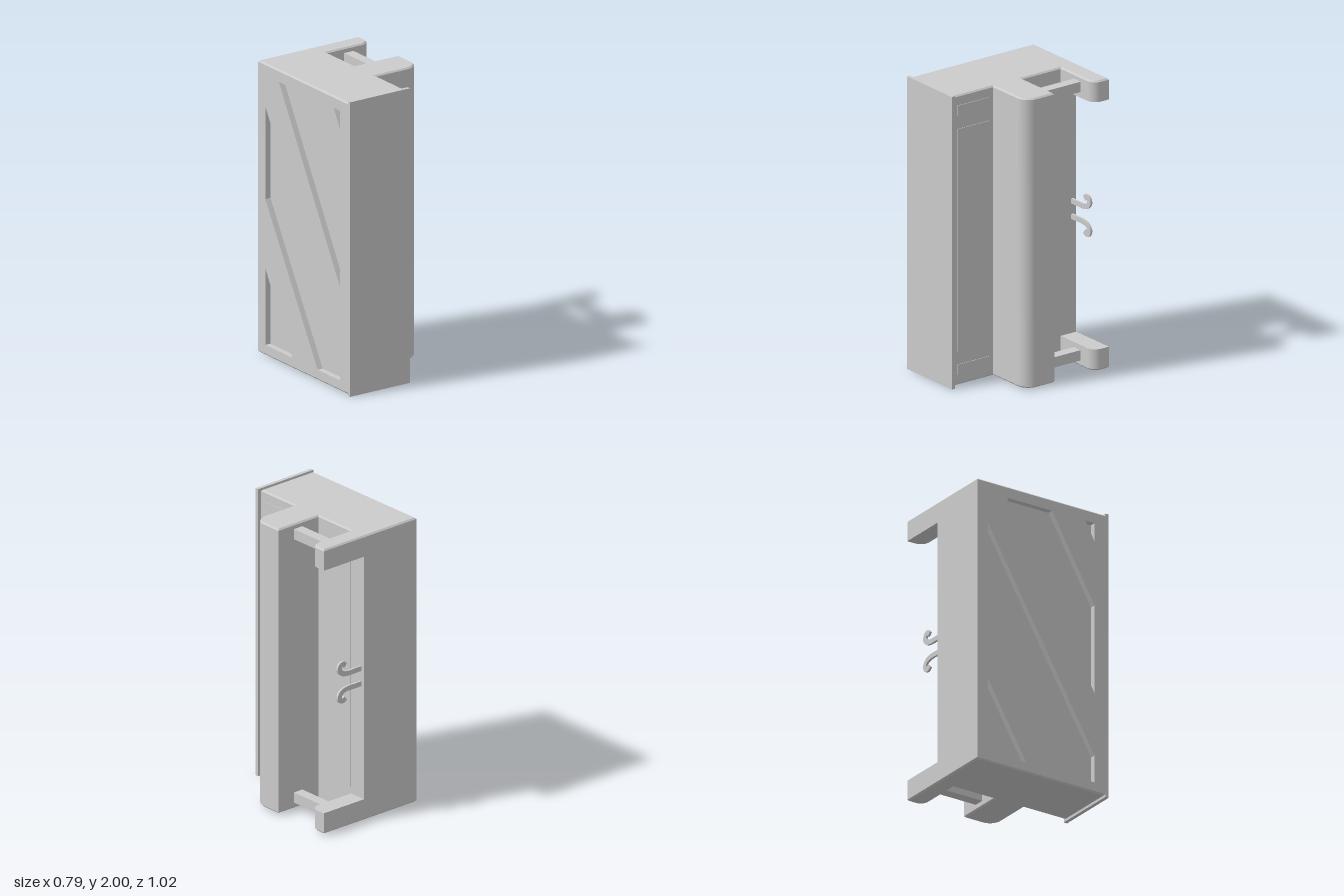
import * as THREE from 'three';
import { toCreasedNormals } from 'three/addons/utils/BufferGeometryUtils.js';

const grey = new THREE.MeshStandardMaterial({ color: 0xcccccc });
const LOW = 0.02, HIGH = 1.98; // wall heights without the chamfers
const BACK = -0.51, SEAM = 0.485; // z of the back face and of the front plate
const LEFT = -0.4, WALL = 0.047, TIP = 0.39; // x of the main planes

export function createModel() {
  const model = new THREE.Group();

  const add = (name, geometry, x = 0, y = 0, z = 0) => {
    const mesh = new THREE.Mesh(geometry, grey);
    mesh.name = name;
    mesh.position.set(x, y, z);
    model.add(mesh);
  };
  // box given by its limits on each axis
  const block = (name, x0, x1, y0, y1, z0, z1) =>
    add(name, new THREE.BoxGeometry(x1 - x0, y1 - y0, z1 - z0),
      (x0 + x1) / 2, (y0 + y1) / 2, (z0 + z1) / 2);
  const polygon = (points) => points.map(([a, b]) => new THREE.Vector2(a, b));
  const extrude = (shape, options) =>
    new THREE.ExtrudeGeometry(shape, { bevelEnabled: false, curveSegments: 12, ...options });
  // plan shapes hold (x, -z) and rise along y
  const rise = (shape, height, options) =>
    toCreasedNormals(extrude(shape, { depth: height, ...options }).rotateX(-Math.PI / 2), 0.5);

  // outline of a projecting rib, rounded on its front outer corner
  const ribPath = (path, z0, z1, r) => {
    path.lineTo(WALL, -z1);
    path.lineTo(TIP - r, -z1);
    path.absarc(TIP - r, -z1 + r, r, -Math.PI / 2, 0, false);
    path.lineTo(TIP, -z0);
    path.lineTo(WALL, -z0);
  };
  const rib = (z0, z1, r) => {
    const s = new THREE.Shape();
    s.moveTo(0, -z0);
    s.lineTo(0, -z1);
    ribPath(s, z0, z1, r);
    return s;
  };

  // main case
  block('caseCore', LEFT + 0.04, WALL, LOW, HIGH, BACK, SEAM);
  block('frontPlate', LEFT, 0.07, 0, 2, SEAM, 0.51);
  add('column', rise(rib(-0.07, 0.16, 0.09), HIGH - LOW), 0, LOW, 0);

  // side skin with slanted recesses, drawn in (z, y)
  const skin = new THREE.Shape(polygon([[BACK, LOW], [SEAM, LOW], [SEAM, HIGH], [BACK, HIGH]]));
  [
    [[0.33, 1.91], [0.4, 1.91], [0.4, 1.78]],
    [[-0.28, 1.91], [0.07, 1.91], [0.4, 1.33], [0.4, 0.71]],
    [[-0.43, 1.7], [0.4, 0.27], [0.4, 0.08], [0.15, 0.08], [-0.43, 1.07]],
    [[-0.43, 0.6], [-0.13, 0.08], [-0.43, 0.08]],
  ].forEach((hole) => skin.holes.push(new THREE.Path(polygon(hole))));
  add('recessedSide', extrude(skin, { depth: 0.04 }).rotateY(-Math.PI / 2), LEFT + 0.04);

  // chamfered end faces covering case, column and arm
  const plan = new THREE.Shape();
  plan.moveTo(LEFT, -BACK);
  plan.lineTo(LEFT, -SEAM);
  plan.lineTo(WALL, -SEAM);
  ribPath(plan, -0.07, 0.16, 0.09);
  ribPath(plan, BACK, -0.385, 0.065);
  const endFace = rise(plan, 0.001, {
    bevelEnabled: true, bevelThickness: 0.01, bevelSize: 0.01, bevelOffset: -0.01, bevelSegments: 1,
  });
  add('topFace', endFace, 0, HIGH - 0.001, 0);
  add('bottomFace', endFace, 0, LOW, 0);

  // arms and crossbars at both ends
  const arm = rise(rib(BACK, -0.385, 0.065), 0.135);
  add('topArm', arm, 0, 1.845, 0);
  add('bottomArm', arm, 0, LOW, 0);
  block('topCrossbar', 0.185, 0.257, 1.885, 1.955, -0.4, -0.06);
  block('bottomCrossbar', 0.185, 0.257, 0.05, 0.12, -0.4, -0.06);

  // thin raised panels on the right wall
  const out = WALL + 0.004;
  block('rearPanel', WALL - 0.01, out, 0.2, 1.8, -0.385, -0.11);
  block('frontPanel', WALL - 0.01, out, 0.24, 1.76, 0.195, 0.45);
  for (const y of [0.08, 1.85]) block('panelStrip', WALL - 0.01, out, y, y + 0.07, 0.195, 0.45);

  // pair of flat curled hooks, mirrored about mid height
  const hook = (name, side) => {
    const path = new THREE.CatmullRomCurve3([
      [0.03, 0.053], [0.1, 0.053], [0.165, 0.053], [0.21, 0.065], [0.232, 0.095],
      [0.222, 0.122], [0.198, 0.127], [0.182, 0.112],
    ].map(([x, y]) => new THREE.Vector3(x, 1.005 + side * y, 0)));
    const edges = [[], []];
    for (let i = 0; i <= 32; i++) {
      const p = path.getPoint(i / 32), t = path.getTangent(i / 32);
      edges.forEach((edge, k) => {
        const w = k ? -0.017 : 0.017;
        edge.push(new THREE.Vector2(p.x - t.y * w, p.y + t.x * w));
      });
    }
    const shape = new THREE.Shape([...edges[0], ...edges[1].reverse()]);
    add(name, toCreasedNormals(extrude(shape, { depth: 0.015 }), 0.6), 0, 0, -0.485);
  };
  hook('upperHook', 1);
  hook('lowerHook', -1);

  return model;
}
